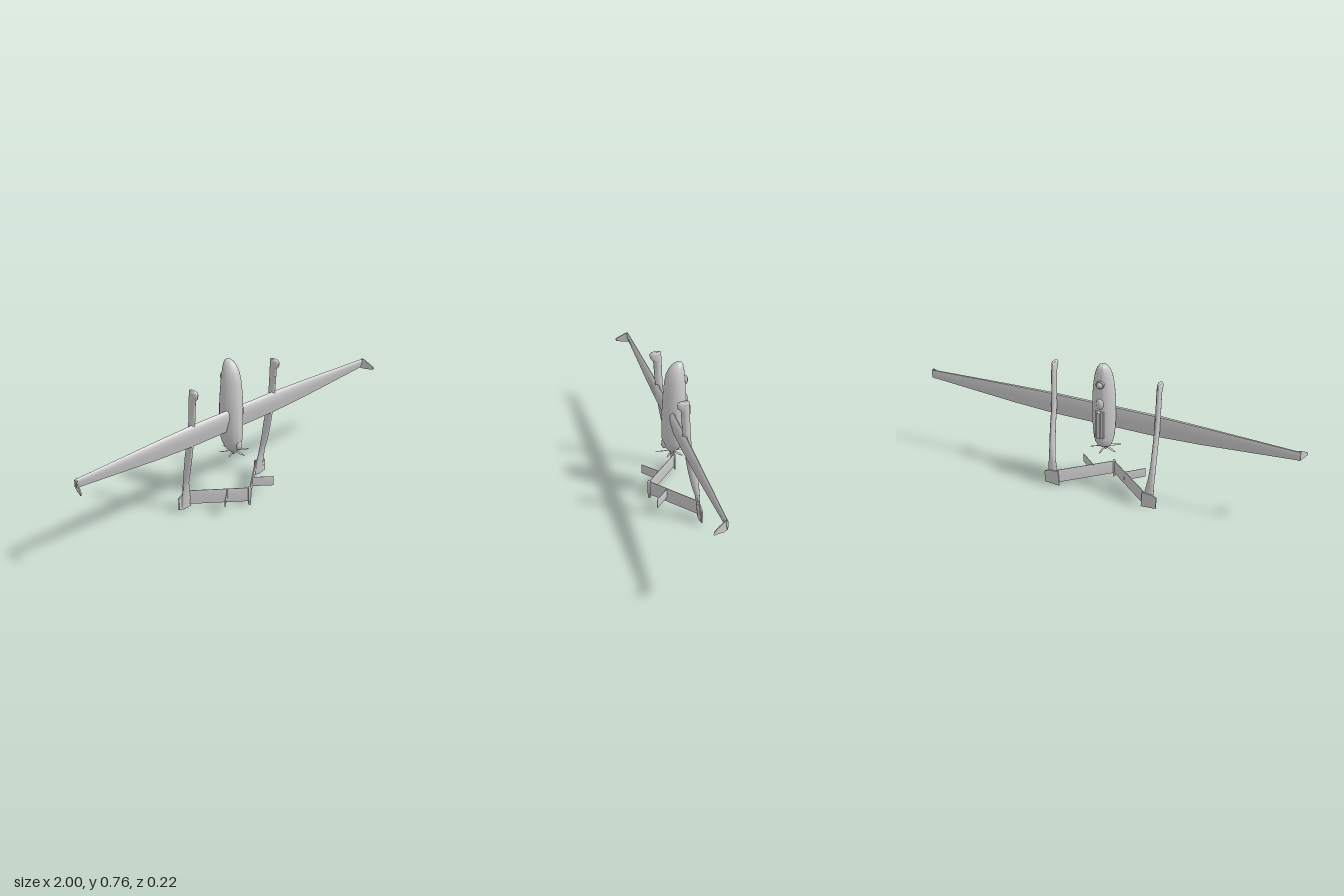
import * as THREE from 'three';
import { toCreasedNormals } from 'three/addons/utils/BufferGeometryUtils.js';

const material = new THREE.MeshStandardMaterial({ color: 0xcccccc, roughness: 0.7 });

function add(parent, name, geometry) {
  const mesh = new THREE.Mesh(geometry, material);
  mesh.name = name;
  parent.add(mesh);
  return mesh;
}

// Skins a list of closed rings ([x, y, z] points) and caps both ends; always faces outward.
function loft(rings, crease = 0.7) {
  const n = rings[0].length, pos = rings.flat(), tris = [];
  for (let j = 0; j < rings.length - 1; j++) {
    for (let i = 0; i < n; i++) {
      const a = j * n + i, b = j * n + (i + 1) % n;
      tris.push([a, a + n, b], [b, a + n, b + n]);
    }
  }
  [[0, false], [rings.length - 1, true]].forEach(([j, flip]) => {
    const c = pos.length;
    pos.push([0, 1, 2].map(k => rings[j].reduce((s, p) => s + p[k], 0) / n));
    for (let i = 0; i < n; i++) {
      const a = j * n + i, b = j * n + (i + 1) % n;
      tris.push(flip ? [c, b, a] : [c, a, b]);
    }
  });
  const v = pos.map(p => new THREE.Vector3(...p));
  const volume = tris.reduce((s, [a, b, c]) => s + v[a].dot(v[b].clone().cross(v[c])), 0);
  const index = tris.flatMap(([a, b, c]) => (volume < 0 ? [a, c, b] : [a, b, c]));
  const g = new THREE.BufferGeometry();
  g.setAttribute('position', new THREE.Float32BufferAttribute(pos.flat(), 3));
  g.setIndex(index);
  return toCreasedNormals(g, crease);
}

// Oval section at height y; "egg" narrows the +z half.
function oval(y, x0, x1, zFront, zBack, n = 32, egg = 0) {
  const cx = (x0 + x1) / 2, w = (x1 - x0) / 2, cz = (zFront + zBack) / 2, d = (zFront - zBack) / 2;
  return Array.from({ length: n }, (_, i) => {
    const a = i / n * Math.PI * 2, s = Math.sin(a);
    return [cx + w * Math.cos(a) * (1 - egg * Math.max(s, 0)), y, cz + d * s];
  });
}

// Airfoil section at span x: flat-bottomed, rounded leading edge at the top.
function airfoil(x, yTrail, yLead, zBase, t) {
  const profile = [[0, 0.25], [0.25, 0.55], [0.5, 0.85], [0.7, 1], [0.85, 0.95], [0.95, 0.75], [1, 0.4],
    [0.96, 0.12], [0.8, 0], [0.4, 0.02], [0, 0.15]];
  return profile.map(([c, h]) => [x, yTrail + (yLead - yTrail) * c, zBase + t * h]);
}

// Thin panel running between two points in the xz plane, from y0 to y1.
function panel(xa, za, xb, zb, y0, y1, t) {
  const len = Math.hypot(xb - xa, zb - za);
  const nx = -(zb - za) / len * t / 2, nz = (xb - xa) / len * t / 2;
  const ym = y1 - (y1 - y0) * 0.2;
  const ring = (x, z) => [[x, y0, z], [x + nx, ym, z + nz], [x + nx * 0.4, y1, z + nz * 0.4],
    [x - nx * 0.4, y1, z - nz * 0.4], [x - nx, ym, z - nz]];
  return loft([ring(xa, za), ring(xb, zb)], 0.3);
}

export function createModel() {
  const model = new THREE.Group();
  model.name = 'twinBoomAircraft';

  // Fuselage: y, half width, z of back (top side), z of belly
  const body = [[0.27, 0.022, 0.002, -0.036], [0.28, 0.03, 0.011, -0.052], [0.295, 0.038, 0.021, -0.071],
    [0.315, 0.045, 0.029, -0.083], [0.34, 0.051, 0.034, -0.089], [0.4, 0.057, 0.035, -0.09],
    [0.5, 0.06, 0.033, -0.089], [0.58, 0.058, 0.028, -0.086], [0.65, 0.051, 0.021, -0.082],
    [0.69, 0.044, 0.013, -0.079], [0.715, 0.036, 0.002, -0.077], [0.735, 0.027, -0.012, -0.074],
    [0.747, 0.018, -0.026, -0.069], [0.753, 0.01, -0.038, -0.062], [0.756, 0.002, -0.049, -0.053]];
  add(model, 'fuselage', loft(body.map(([y, w, f, b]) => oval(y, -w, w, f, b, 40, 0.14)), 1));

  // Rear air intake on the back
  const intake = add(model, 'airIntake', new THREE.SphereGeometry(1, 20, 14));
  intake.scale.set(0.017, 0.028, 0.012);
  intake.position.set(0, 0.312, 0.024);

  // Spinner and pusher propeller
  const propeller = new THREE.Group();
  propeller.name = 'propeller';
  propeller.position.set(0, 0.268, -0.015);
  model.add(propeller);
  const cone = [[0, -0.024], [0.004, -0.02], [0.01, -0.01], [0.017, 0], [0.02, 0.008]];
  add(propeller, 'spinner', new THREE.LatheGeometry(cone.map(p => new THREE.Vector2(...p)), 24));
  for (let i = 0; i < 6; i++) {
    const arm = new THREE.Group();
    arm.name = 'propellerBlade';
    arm.rotation.y = Math.PI / 2 + i * Math.PI / 3;
    propeller.add(arm);
    const blade = add(arm, 'blade', new THREE.SphereGeometry(1, 12, 8));
    blade.scale.set(0.037, 0.0015, 0.006);
    blade.position.x = 0.044;
    blade.rotation.x = 0.3;
  }

  // Wing: one skin from tip to tip
  const half = [[0.28, 0.388, 0.507, -0.018, 0.024], [0.5, 0.398, 0.5, -0.016, 0.019], [0.98, 0.434, 0.48, -0.012, 0.01]];
  const stations = [...half.map(([x, ...r]) => [-x, ...r]).reverse(), ...half];
  add(model, 'wing', loft(stations.map(s => airfoil(...s))));

  // Belly: camera ball, equipment panel and rail
  const collar = add(model, 'sensorCollar', new THREE.CylinderGeometry(0.021, 0.021, 0.012, 24));
  collar.rotation.x = Math.PI / 2;
  collar.position.set(0, 0.656, -0.083);
  const ball = add(model, 'sensorBall', new THREE.SphereGeometry(0.017, 24, 16));
  ball.scale.z = 0.8;
  ball.position.set(0, 0.656, -0.084);
  const dome = add(model, 'bellyFairing', new THREE.SphereGeometry(1, 20, 14));
  dome.scale.set(0.02, 0.03, 0.014);
  dome.position.set(0, 0.549, -0.083);
  add(model, 'bellyPanel', new THREE.BoxGeometry(0.044, 0.15, 0.014)).position.set(0, 0.435, -0.089);
  add(model, 'bellyRail', new THREE.BoxGeometry(0.014, 0.145, 0.03)).position.set(0, 0.437, -0.094);

  // Boom: y, inner x, outer x, z front, z back
  const boom = [[0.01, 0.236, 0.288, -0.086, -0.095], [0.06, 0.232, 0.288, -0.08, -0.095],
    [0.1, 0.24, 0.288, -0.075, -0.092], [0.16, 0.251, 0.287, -0.064, -0.088], [0.185, 0.254, 0.287, -0.055, -0.086],
    [0.24, 0.259, 0.287, -0.04, -0.08], [0.3, 0.261, 0.287, -0.027, -0.073], [0.35, 0.262, 0.287, -0.018, -0.064],
    [0.42, 0.262, 0.288, -0.008, -0.046], [0.48, 0.262, 0.288, 0, -0.04], [0.55, 0.263, 0.288, 0.005, -0.036],
    [0.635, 0.263, 0.288, 0.011, -0.033], [0.65, 0.263, 0.288, 0.026, -0.032], [0.672, 0.263, 0.288, 0.03, -0.031],
    [0.682, 0.265, 0.286, 0.022, -0.03], [0.685, 0.268, 0.283, 0.012, -0.026]];

  for (const s of [1, -1]) {
    const side = new THREE.Group();
    side.name = s > 0 ? 'leftSide' : 'rightSide';
    model.add(side);
    add(side, 'tailBoom', loft(boom.map(([y, a, b, f, r]) => oval(y, s * a, s * b, f, r, 20))));

    // Stabiliser plate at the boom end
    const plate = z => [[0.225, 0.008], [0.305, 0.014], [0.305, 0.078], [0.285, 0.09], [0.23, 0.095]]
      .map(([x, y]) => [s * x, y, z]);
    add(side, 'boomEndPlate', loft([plate(-0.096), plate(-0.089)], 0.2));

    // Tail panel rising to the centre, with a fin branching off it
    add(side, 'tailPanel', panel(s * 0.238, -0.092, 0, 0.1, 0.022, 0.099, 0.007));
    add(side, 'branchFin', panel(s * 0.085, 0.028, s * 0.173, 0.101, 0.046, 0.098, 0.005));

    // Winglet
    const winglet = [[0.974, -0.008, 0.43, 0.484], [0.982, 0.005, 0.427, 0.478], [0.99, 0.03, 0.428, 0.462], [1, 0.056, 0.43, 0.443]];
    add(side, 'winglet', loft(winglet.map(([x, z, y0, y1]) =>
      [[x, y0, z], [x, (y0 + y1) / 2, z + 0.002], [x, y1, z], [x - 0.007, y1, z - 0.001], [x - 0.007, y0, z - 0.001]]
        .map(([px, py, pz]) => [s * px, py, pz])), 0.5));
  }

  // Slim pod where the tail panels meet
  const pod = [[0, 0.003], [0.008, 0.007], [0.05, 0.008], [0.095, 0.008], [0.104, 0.006], [0.107, 0.002]];
  add(model, 'tailPod', loft(pod.map(([y, r]) => oval(y, -r, r, 0.101 + r * 1.1, 0.101 - r * 1.1, 16)), 1));

  return model;
}
